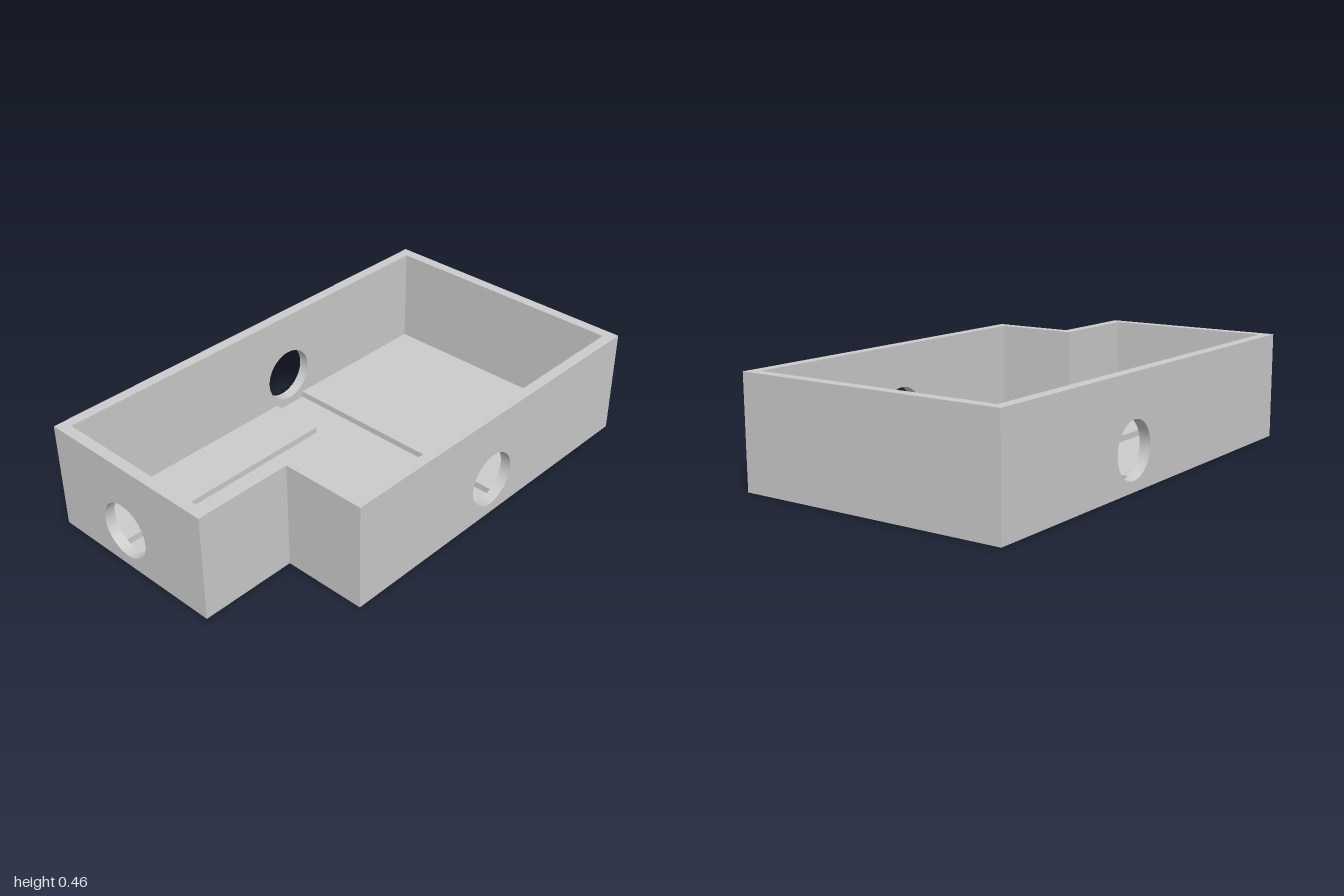
import * as THREE from 'three';

const material = new THREE.MeshStandardMaterial({ color: 0xcccccc, flatShading: true });
const T = 0.046;             // wall thickness
const TOP = 0.46;            // rim height
const WALL_BASE = 0.004;     // walls start just above the floor's underside
const CHANNEL_Y = 0.013;     // bottom of the cable channels
const PLATE_Y = 0.04;        // top of the raised floor plates
const HOLE = { y: 0.165, r: 0.117 };

// Upright wall along x from a to b (or along z), with an optional round opening
function wall(name, axis, a, b, low, hole) {
  const shape = new THREE.Shape([[a, WALL_BASE], [b, WALL_BASE], [b, TOP], [a, TOP]]
    .map(p => new THREE.Vector2(...p)));
  if (hole !== undefined) {
    shape.holes.push(new THREE.Path().absarc(hole, HOLE.y, HOLE.r, 0, Math.PI * 2, true));
  }
  const geo = new THREE.ExtrudeGeometry(shape, { depth: T, bevelEnabled: false, curveSegments: 32 });
  if (axis === 'x') geo.translate(0, 0, low);
  else {
    // Shape x runs towards -z after the turn, so z walls are given as negated z
    geo.rotateY(Math.PI / 2);
    geo.translate(low, 0, 0);
  }
  const mesh = new THREE.Mesh(geo, material);
  mesh.name = name;
  return mesh;
}

// Flat slab from an outline of [x, z] points
function slab(name, outline, y0, y1) {
  const shape = new THREE.Shape(outline.map(([x, z]) => new THREE.Vector2(x, -z)));
  const geo = new THREE.ExtrudeGeometry(shape, { depth: y1 - y0, bevelEnabled: false });
  geo.rotateX(-Math.PI / 2);
  geo.translate(0, y0, 0);
  const mesh = new THREE.Mesh(geo, material);
  mesh.name = name;
  return mesh;
}

export function createModel() {
  const group = new THREE.Group();
  group.name = 'notchedEnclosure';

  const X = 1, Z = 0.585;            // outer half sizes
  const nx = -0.583, nz = 0.226;     // notch corner
  const ix = X - T, iz = Z - T;      // inner half sizes
  const inx = nx + T, inz = nz - T;  // inner notch corner

  // Walls
  group.add(
    wall('backWall', 'x', -X, X, -Z, 0.176),
    wall('frontWall', 'x', nx, X, iz, 0.176),
    wall('leftWall', 'z', -iz, iz, ix),
    wall('rightWall', 'z', -inz, iz, -X, 0.212),
    wall('notchFrontWall', 'x', -X, inx, inz),
    wall('notchSideWall', 'z', -iz, -nz, nx),
  );

  // Floor, with three raised plates leaving a T-shaped channel to the openings
  group.add(
    slab('floor', [[-ix, -iz], [ix, -iz], [ix, iz], [inx, iz], [inx, inz], [-ix, inz]], 0, CHANNEL_Y),
    slab('backPlate', [[-ix, -iz], [0.097, -iz], [0.097, -0.295], [-ix, -0.295]], CHANNEL_Y, PLATE_Y),
    slab('frontPlate', [[-ix, -0.13], [0.097, -0.13], [0.097, iz], [inx, iz], [inx, inz], [-ix, inz]], CHANNEL_Y, PLATE_Y),
    slab('leftPlate', [[0.257, -iz], [ix, -iz], [ix, iz], [0.257, iz]], CHANNEL_Y, PLATE_Y),
  );
  return group;
}
